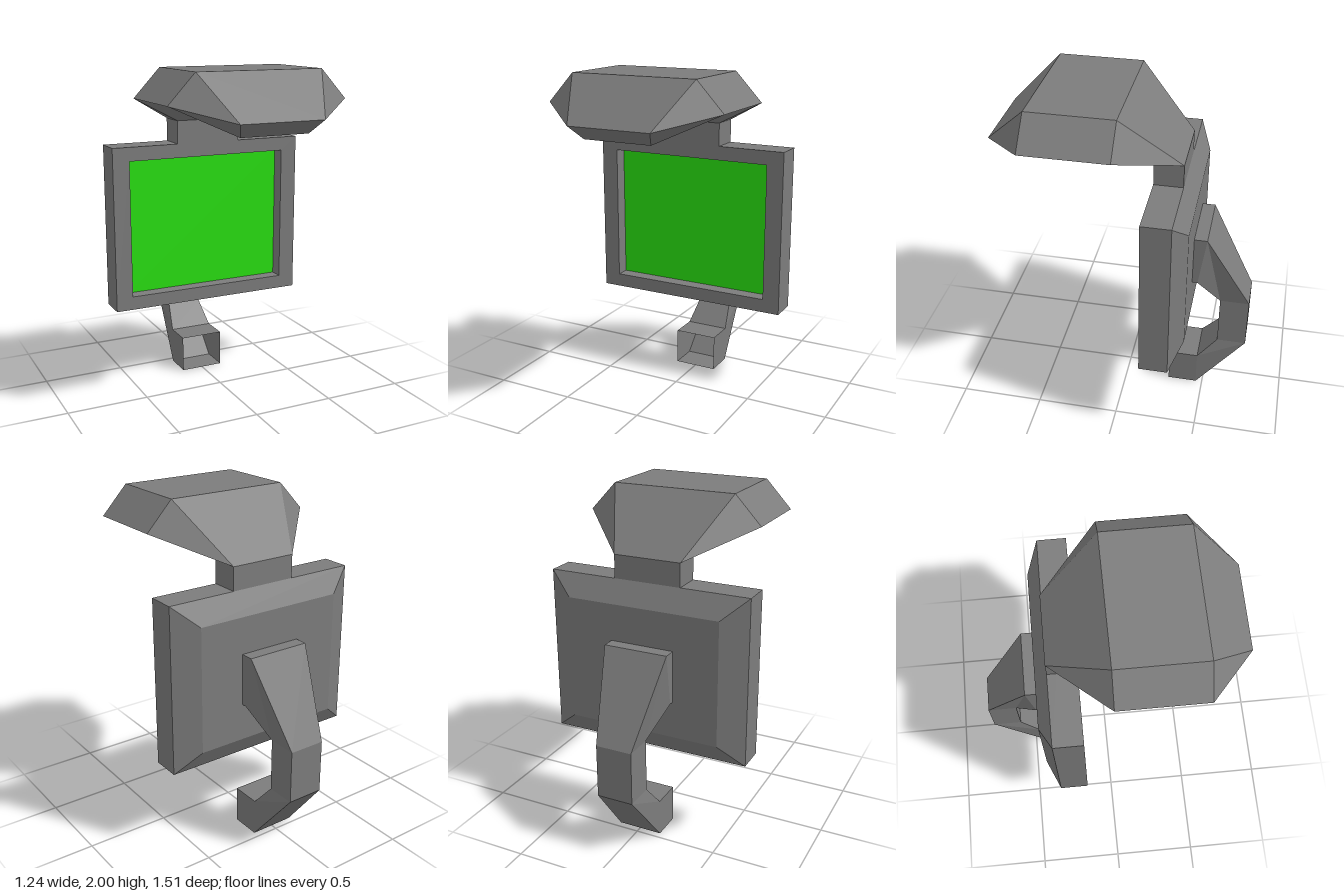
import * as THREE from 'three';

const casingGrey = new THREE.MeshStandardMaterial({ color: 0x7c7c7c, side: THREE.DoubleSide, flatShading: true });
casingGrey.name = 'casingGrey';
const screenGreen = new THREE.MeshStandardMaterial({ color: 0x28e010 });
screenGreen.name = 'screenGreen';

// Joins four-cornered sections. Each section is [halfWidthA, yA, zA, halfWidthB, yB, zB],
// where A is the outer edge and B the inner edge. flips picks the diagonal of the side faces.
function loft(sections, { mirror = 1, flips = [], cap = false } = {}) {
  const rings = sections.map(([xa, ya, za, xb, yb, zb]) => [
    [xa * mirror, ya, za], [-xa * mirror, ya, za],
    [-xb * mirror, yb, zb], [xb * mirror, yb, zb],
  ]);
  const pos = [];
  const tri = (...pts) => pts.forEach((p) => pos.push(...p));
  for (let s = 0; s < rings.length - 1; s++) {
    const a = rings[s], b = rings[s + 1];
    for (let j = 0; j < 4; j++) {
      const k = (j + 1) % 4;
      if ((j === 3) === Boolean(flips[s])) {
        tri(a[j], a[k], b[k]);
        tri(a[j], b[k], b[j]);
      } else {
        tri(a[j], a[k], b[j]);
        tri(a[k], b[k], b[j]);
      }
    }
  }
  if (cap) {
    const e = rings[rings.length - 1];
    tri(e[0], e[1], e[2]);
    tri(e[0], e[2], e[3]);
  }
  const geometry = new THREE.BufferGeometry();
  geometry.setAttribute('position', new THREE.Float32BufferAttribute(pos, 3));
  geometry.computeVertexNormals();
  return geometry;
}

function rectangle(PathType, halfWidth, bottom, top) {
  return new PathType([
    new THREE.Vector2(-halfWidth, bottom), new THREE.Vector2(halfWidth, bottom),
    new THREE.Vector2(halfWidth, top), new THREE.Vector2(-halfWidth, top),
  ]);
}

export function createModel() {
  const model = new THREE.Group();
  model.name = 'hoodedDisplay';
  const add = (name, geometry, material) => {
    const mesh = new THREE.Mesh(geometry, material);
    mesh.name = name;
    model.add(mesh);
    return mesh;
  };

  // Frame around the recessed screen
  const outline = rectangle(THREE.Shape, 0.62, 0.52, 1.53);
  outline.holes.push(rectangle(THREE.Path, 0.515, 0.603, 1.445));
  const frame = new THREE.ExtrudeGeometry(outline, { depth: 0.17, bevelEnabled: false });
  frame.translate(0, 0, -0.335);
  add('screenFrame', frame, casingGrey);

  // Screen set back inside the frame
  add('screen', new THREE.PlaneGeometry(1.03, 0.842), screenGreen).position.set(0, 1.024, -0.25);

  // Bevelled rear shell
  add('backShell', loft([
    [0.62, 1.53, -0.335, 0.62, 0.52, -0.335],
    [0.47, 1.40, -0.408, 0.47, 0.645, -0.408],
  ], { mirror: -1, cap: true }), casingGrey);

  // Neck rising into the overhanging hood
  add('neckAndHood', loft([
    [0.205, 1.53, -0.335, 0.205, 1.53, -0.165],
    [0.205, 1.67, -0.335, 0.205, 1.67, -0.165],
    [0.38, 2.0, 0, 0.54, 1.83, 0],
    [0.38, 2.0, 0.5, 0.54, 1.83, 0.5],
    [0.25, 1.75, 0.755, 0.205, 1.67, 0.665],
  ], { flips: [false, false, false, true], cap: true }), casingGrey);

  // Curved support arm, open at its lower end
  add('supportArm', loft([
    [0.195, 1.18, -0.40, 0.195, 0.87, -0.40],
    [0.195, 1.18, -0.485, 0.195, 0.87, -0.44],
    [0.11, 0.685, -0.755, 0.11, 0.685, -0.578],
    [0.11, 0.365, -0.755, 0.11, 0.365, -0.578],
    [0.135, 0, -0.46, 0.135, 0.225, -0.46],
    [0.135, 0, -0.28, 0.135, 0.225, -0.28],
  ], { mirror: -1 }), casingGrey);

  return model;
}
